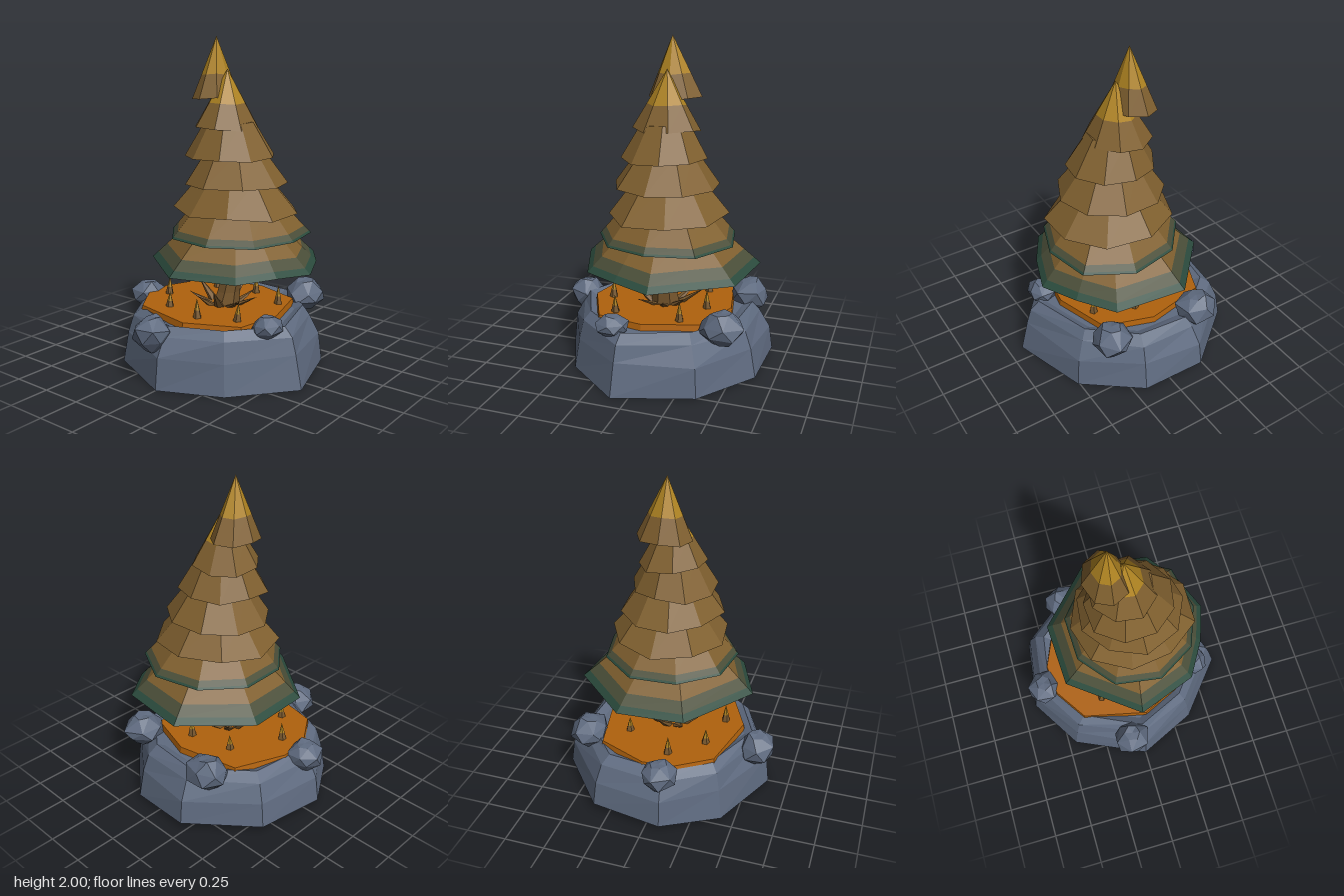
import * as THREE from 'three';

const paint = (name, color) => {
  const m = new THREE.MeshStandardMaterial({ color, flatShading: true });
  m.name = name;
  return m;
};

// Flat-faced skin through rings of [x, y, z]; one material per band, then the caps
function loft(name, rings, mats, bottom, top) {
  const pos = [], used = [], geo = new THREE.BufferGeometry();
  const begin = (mat) => {
    let slot = used.indexOf(mat);
    if (slot < 0) slot = used.push(mat) - 1;
    return { slot, start: pos.length / 3 };
  };
  const end = ({ slot, start }) => geo.addGroup(start, pos.length / 3 - start, slot);
  const n = rings[0].length;
  for (let k = 0; k < rings.length - 1; k++) {
    const g = begin(mats[k]);
    for (let i = 0; i < n; i++) {
      const j = (i + 1) % n, a = rings[k], b = rings[k + 1];
      pos.push(...a[i], ...b[i], ...a[j], ...a[j], ...b[i], ...b[j]);
    }
    end(g);
  }
  const cap = (ring, { mat, lift = 0 }, up) => {
    const g = begin(mat);
    const c = [0, 1, 2].map((d) => ring.reduce((s, p) => s + p[d], 0) / n);
    c[1] += lift;
    for (let i = 0; i < n; i++) {
      const p = ring[i], q = ring[(i + 1) % n];
      pos.push(...c, ...(up ? q : p), ...(up ? p : q));
    }
    end(g);
  };
  if (bottom) cap(rings[0], bottom, false);
  if (top) cap(rings[rings.length - 1], top, true);
  geo.setAttribute('position', new THREE.Float32BufferAttribute(pos, 3));
  geo.computeVertexNormals();
  const mesh = new THREE.Mesh(geo, used);
  mesh.name = name;
  return mesh;
}

export function createModel() {
  const model = new THREE.Group();
  model.name = 'treeOnRock';
  const rock = paint('slateRock', 0x5f6b80);
  const soil = paint('orangeSoil', 0xb0620d);
  const bark = paint('bark', 0x7a592f);
  const leaf = paint('brownFoliage', 0x80602f);
  const olive = paint('oliveFoliage', 0x4b4f39);
  const green = paint('darkGreenFoliage', 0x2b4b3d);
  const gold = paint('goldTips', 0xb08422);

  let seed = 7;
  const rnd = () => (seed = (seed * 16807) % 2147483647) / 2147483647 - 0.5;

  // Rock base
  const outline = [[0.66, 0.1], [0.37, 0.45], [0, 0.62], [-0.45, 0.42], [-0.66, 0.09],
    [-0.6, -0.35], [-0.22, -0.66], [0.18, -0.64], [0.51, -0.37]];
  const rockRing = (y, s, wobble) => outline.map(([x, z]) => {
    const k = s + rnd() * wobble;
    return [x * k, y + rnd() * wobble * 0.5, z * k];
  });
  const foot = outline.map(([x, z]) => [x, Math.max(0, -x * 0.05 - z * 0.04), z]);
  model.add(loft('rockBase',
    [foot, rockRing(0.19, 0.955, 0.05), rockRing(0.3, 0.88, 0.03), rockRing(0.355, 0.8, 0.02), rockRing(0.33, 0.72, 0)],
    [rock, rock, rock, rock], { mat: rock }, { mat: rock }));

  // Soil plate
  const patch = [[0.42, 0], [0.37, 0.29], [0.05, 0.44], [-0.36, 0.35], [-0.5, 0.14],
    [-0.52, -0.06], [-0.39, -0.37], [0, -0.45], [0.31, -0.35]];
  model.add(loft('soil', [0.32, 0.368].map((y, i) =>
    patch.map(([x, z]) => [x * (1 - i * 0.02), y, z * (1 - i * 0.02)])), [soil], null, { mat: soil }));

  // Boulders around the rim: centre and half sizes
  [[-0.08, 0.31, 0.545, 0.115, 0.1, 0.115], [-0.56, 0.33, 0.06, 0.11, 0.09, 0.11],
    [-0.28, 0.36, -0.49, 0.13, 0.1, 0.12], [0.32, 0.37, -0.46, 0.125, 0.095, 0.14],
    [0.46, 0.355, 0.16, 0.085, 0.07, 0.1]].forEach(([x, y, z, rx, ry, rz], i) => {
    const rings = [[-1, 0.4], [-0.3, 0.98], [0.35, 0.95], [0.95, 0.45]].map(([h, r], k) =>
      Array.from({ length: 6 }, (_, j) => {
        const a = (j + k * 0.4 + i * 0.3) * Math.PI / 3, s = r * (1 + rnd() * 0.22);
        return [x + Math.cos(a) * rx * s, y + (h + rnd() * 0.25) * ry, z + Math.sin(a) * rz * s];
      }));
    model.add(loft('boulder' + (i + 1), rings, [rock, rock, rock], { mat: rock }, { mat: rock }));
  });

  // Leaning trunk
  const trunkRing = (x, y, z, r) => Array.from({ length: 7 }, (_, j) => {
    const a = j / 7 * Math.PI * 2 + 0.3;
    return [x + Math.cos(a) * r, y, z + Math.sin(a) * r * 1.15];
  });
  model.add(loft('trunk', [trunkRing(0.01, 0.34, -0.02, 0.085), trunkRing(0.035, 0.45, -0.025, 0.068),
    trunkRing(0.08, 0.66, -0.035, 0.06), trunkRing(0.09, 0.8, -0.04, 0.055)], [bark, bark, bark]));

  // A tapering spike from base point to tip, gold at its end
  const spike = (name, p, q, r) => {
    const geoRing = (t, s) => Array.from({ length: 5 }, (_, j) => {
      const a = j / 5 * Math.PI * 2;
      return [p[0] + (q[0] - p[0]) * t + Math.cos(a) * r * s, p[1] + (q[1] - p[1]) * t,
        p[2] + (q[2] - p[2]) * t + Math.sin(a) * r * s];
    });
    model.add(loft(name, [geoRing(0, 1), geoRing(0.45, 0.6), geoRing(1, 0.02)],
      [bark, name === 'sprout' ? gold : bark]));
  };
  // Sharp shoots fanned around the trunk foot
  for (let i = 0; i < 9; i++) {
    const a = i / 9 * Math.PI * 2 + 0.5, r = 0.22 + rnd() * 0.06;
    spike('rootShoot', [Math.cos(a) * 0.08, 0.36, -0.02 + Math.sin(a) * 0.08],
      [Math.cos(a) * r, 0.46 + rnd() * 0.06, -0.02 + Math.sin(a) * r], 0.035);
  }
  // Sprouts in the soil
  [[-0.38, 0.06], [-0.21, 0.25], [0.06, 0.31], [0.28, 0.21], [0.29, -0.2], [0.05, -0.3], [-0.22, -0.24]]
    .forEach(([x, z]) => spike('sprout', [x, 0.36, z], [x + rnd() * 0.02, 0.475 + rnd() * 0.04, z], 0.028));

  // Foliage tier: base ring drawn towards an apex, cut into colour bands at given fractions
  const tier = (name, ring, apex, bands, under) => {
    const rings = [0, ...bands.map((b) => b[0])].map((f) =>
      ring.map((p) => p.map((v, d) => v + (apex[d] - v) * f)));
    model.add(loft(name, rings, bands.map((b) => b[1]), { mat: under, lift: 0.03 }, { mat: bands.at(-1)[1] }));
  };
  const skirt = [[0.58, -0.1], [0.5, 0.13], [0.37, 0.35], [0, 0.49], [-0.42, 0.17],
    [-0.44, -0.24], [-0.11, -0.59], [0.33, -0.54], [0.48, -0.33]];
  tier('foliageTier1', skirt.map(([x, z]) => [x, 0.64 + rnd() * 0.025, z]), [0.07, 1.14, -0.05],
    [[0.07, green], [0.18, olive], [0.42, leaf]], green);

  // Upper tiers: base height, centre and radii, apex, bands; radius spirals to leave a ragged seam
  const plain = [[0.45, leaf]];
  [[0.81, 0.085, 0.43, -0.05, 0.42, [0.07, 1.3, -0.05], [[0.025, green], [0.09, olive], [0.45, leaf]], green],
    [0.97, 0.07, 0.39, -0.05, 0.365, [0.06, 1.42, -0.05], plain, leaf],
    [1.13, 0.055, 0.33, -0.05, 0.31, [0.05, 1.58, -0.045], plain, leaf],
    [1.3, 0.05, 0.275, -0.03, 0.262, [0.03, 1.75, -0.035], plain, leaf],
    [1.46, 0.015, 0.2, -0.035, 0.208, [0.02, 1.81, -0.03], [[0.42, leaf], [0.995, gold]], leaf],
    [1.635, -0.075, 0.135, -0.045, 0.165, [-0.067, 2, -0.035], [[0.39, leaf], [0.995, gold]], leaf],
  ].forEach(([y, cx, rx, cz, rz, apex, bands, under], t) => {
    const n = t > 3 ? 8 : 9;
    const ring = Array.from({ length: n }, (_, j) => {
      const a = (j / n) * Math.PI * 2 + t * 1.1, s = 0.96 + 0.09 * j / n + rnd() * 0.04;
      return [cx + Math.cos(a) * rx * s, y + rnd() * 0.025, cz + Math.sin(a) * rz * s];
    });
    tier('foliageTier' + (t + 2), ring, apex, bands, under);
  });
  return model;
}
